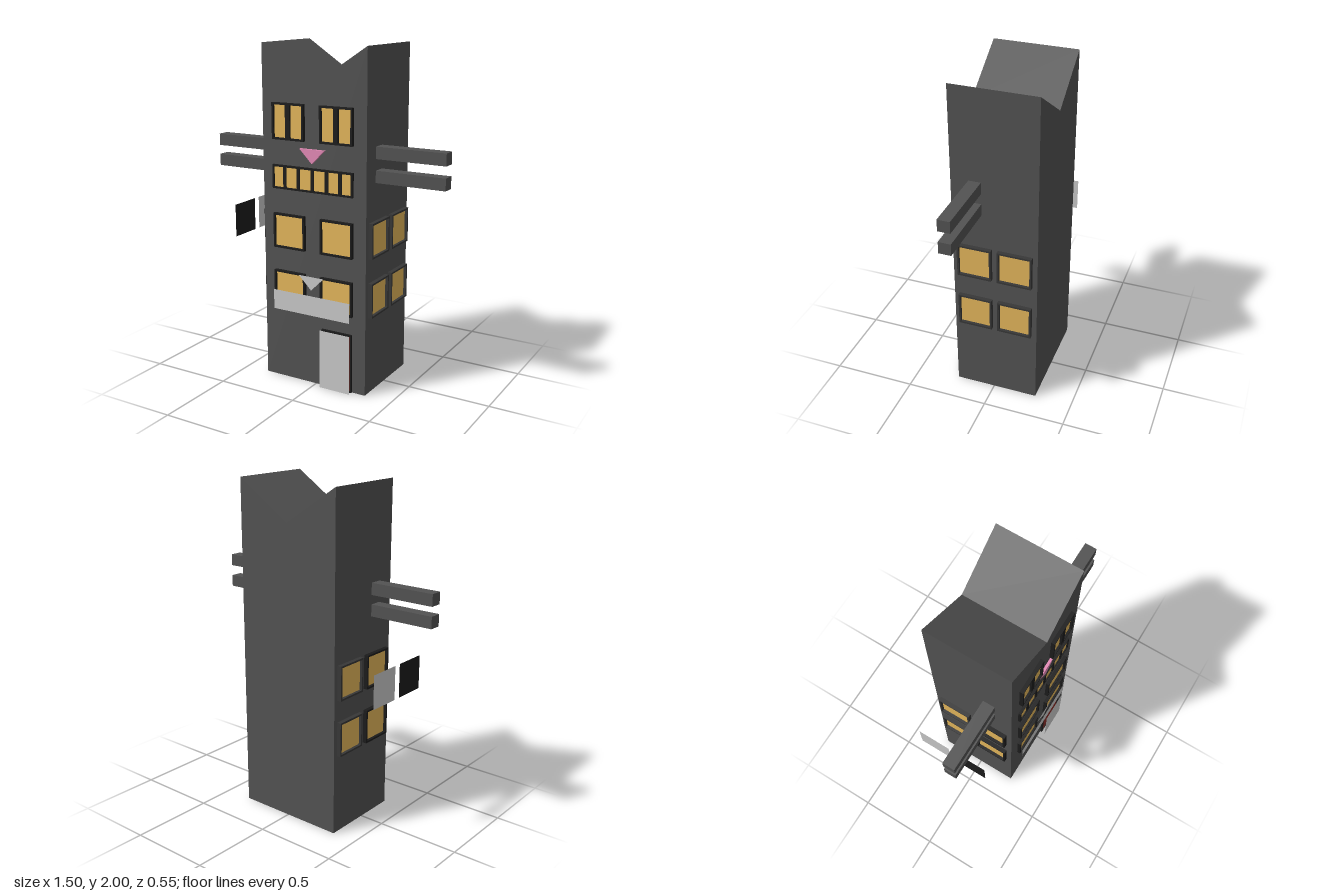
import * as THREE from 'three';

const mat = (color, side = THREE.FrontSide) =>
  new THREE.MeshStandardMaterial({ color, side, flatShading: true });

const WALL = mat(0x535353);
const BLACK = mat(0x1c1c1c);
const SIDE_FRAME = mat(0x383838);
const AMBER = mat(0xe6b85c);
const PINK = mat(0xe68bb8);
const RED = mat(0x8a2f2a);
const GREY = mat(0xcccccc, THREE.DoubleSide);
const BLACK_SHEET = mat(0x1c1c1c, THREE.DoubleSide);

function add(parent, name, geometry, material, x = 0, y = 0, z = 0) {
  const mesh = new THREE.Mesh(geometry, material);
  mesh.name = name;
  mesh.position.set(x, y, z);
  parent.add(mesh);
  return mesh;
}

const polygon = (points) => new THREE.Shape(points.map(([x, y]) => new THREE.Vector2(x, y)));
const extrude = (shape, depth) => new THREE.ExtrudeGeometry(shape, { depth, bevelEnabled: false });
const rect = (x0, x1, y0, y1) => [[x0, y0], [x1, y0], [x1, y1], [x0, y1]];

// Framed opening facing +z: open frame, recessed pane and optional upright bars
function framed(name, w, h, depth, frameMat, paneMat, bars = [], barWidth = 0.02) {
  const group = new THREE.Group();
  group.name = name;
  const t = 0.011;
  const outline = polygon(rect(-w / 2, w / 2, -h / 2, h / 2));
  outline.holes.push(polygon(rect(-w / 2 + t, w / 2 - t, -h / 2 + t, h / 2 - t)));
  add(group, 'frame', extrude(outline, depth), frameMat);
  add(group, 'pane', new THREE.BoxGeometry(w - t, h - t, 0.008), paneMat, 0, 0, 0.004);
  for (const x of bars) {
    add(group, 'bar', new THREE.BoxGeometry(barWidth, h - t, depth - 0.002), frameMat, x, 0, depth / 2);
  }
  return group;
}

export function createModel() {
  const model = new THREE.Group();
  const front = 0.24;

  // Tower with a notched roof forming two ears
  const tower = polygon([[-0.35, 0], [0.33, 0], [0.33, 2], [-0.01, 1.778], [-0.35, 2]]);
  add(model, 'tower', extrude(tower, 0.51), WALL, 0, 0, -0.27);

  const place = (part, x, y, z, turn = 0) => {
    part.position.set(x, y, z);
    part.rotation.y = turn;
    model.add(part);
  };

  // Front windows: eyes with slit pupils above, two plain rows below
  for (const x of [-0.17, 0.145]) {
    place(framed('eyeWindow', 0.21, 0.21, 0.022, BLACK, AMBER, [0], 0.03), x, 1.565, front);
    place(framed('upperWindow', 0.21, 0.207, 0.021, BLACK, AMBER), x, 0.922, front);
    place(framed('lowerWindow', 0.21, 0.207, 0.021, BLACK, AMBER), x, 0.575, front);
  }

  // Row of teeth-like panes
  const toothBars = [-0.182, -0.09, 0.004, 0.097, 0.184];
  place(framed('mouthWindow', 0.53, 0.14, 0.015, BLACK, AMBER, toothBars), -0.015, 1.242, front);

  // Nose
  const nose = polygon([[-0.095, 1.42], [-0.013, 1.338], [0.07, 1.42]]);
  add(model, 'nose', extrude(nose, 0.015), PINK, 0, 0, front);

  // Side windows
  for (const y of [0.925, 0.573]) {
    for (const z of [0.106, -0.137]) {
      place(framed('leftSideWindow', 0.207, 0.207, 0.025, SIDE_FRAME, AMBER), 0.33, y, z, Math.PI / 2);
    }
  }
  for (const y of [0.922, 0.585]) {
    for (const z of [0.104, -0.14]) {
      const frameMat = z > 0 ? BLACK : SIDE_FRAME;
      place(framed('rightSideWindow', 0.205, 0.205, 0.025, frameMat, AMBER), -0.35, y, z, -Math.PI / 2);
    }
  }

  // Whisker beams
  for (const [x, ys] of [[0.54, [1.415, 1.28]], [-0.55, [1.4, 1.275]]]) {
    const length = 2 * (0.75 - Math.abs(x));
    for (const y of ys) {
      add(model, 'whisker', new THREE.BoxGeometry(length, 0.07, 0.073), WALL, x, y, 0.097);
    }
  }

  // Door with a blank sheet standing before it
  place(framed('door', 0.2, 0.36, 0.012, BLACK, RED), 0.145, 0.18, front);
  add(model, 'doorSheet', new THREE.PlaneGeometry(0.2, 0.36), GREY, 0.145, 0.18, 0.275);

  // Sign board and pointed pennant before the lower windows
  add(model, 'signBoard', new THREE.PlaneGeometry(0.515, 0.12), GREY, -0.013, 0.5, 0.275);
  const pennant = polygon([[-0.095, 0.677], [-0.012, 0.595], [0.072, 0.677]]);
  add(model, 'pennant', new THREE.ShapeGeometry(pennant), GREY, 0, 0, 0.273);

  // Thin sheets hanging free of the side wall
  for (const [name, z, material] of [['darkSheet', 0.107, BLACK_SHEET], ['greySheet', -0.135, GREY]]) {
    const sheet = add(model, name, new THREE.PlaneGeometry(0.2, 0.2), material, -0.59, 0.922, z);
    sheet.rotation.y = -Math.PI / 2;
  }

  return model;
}
